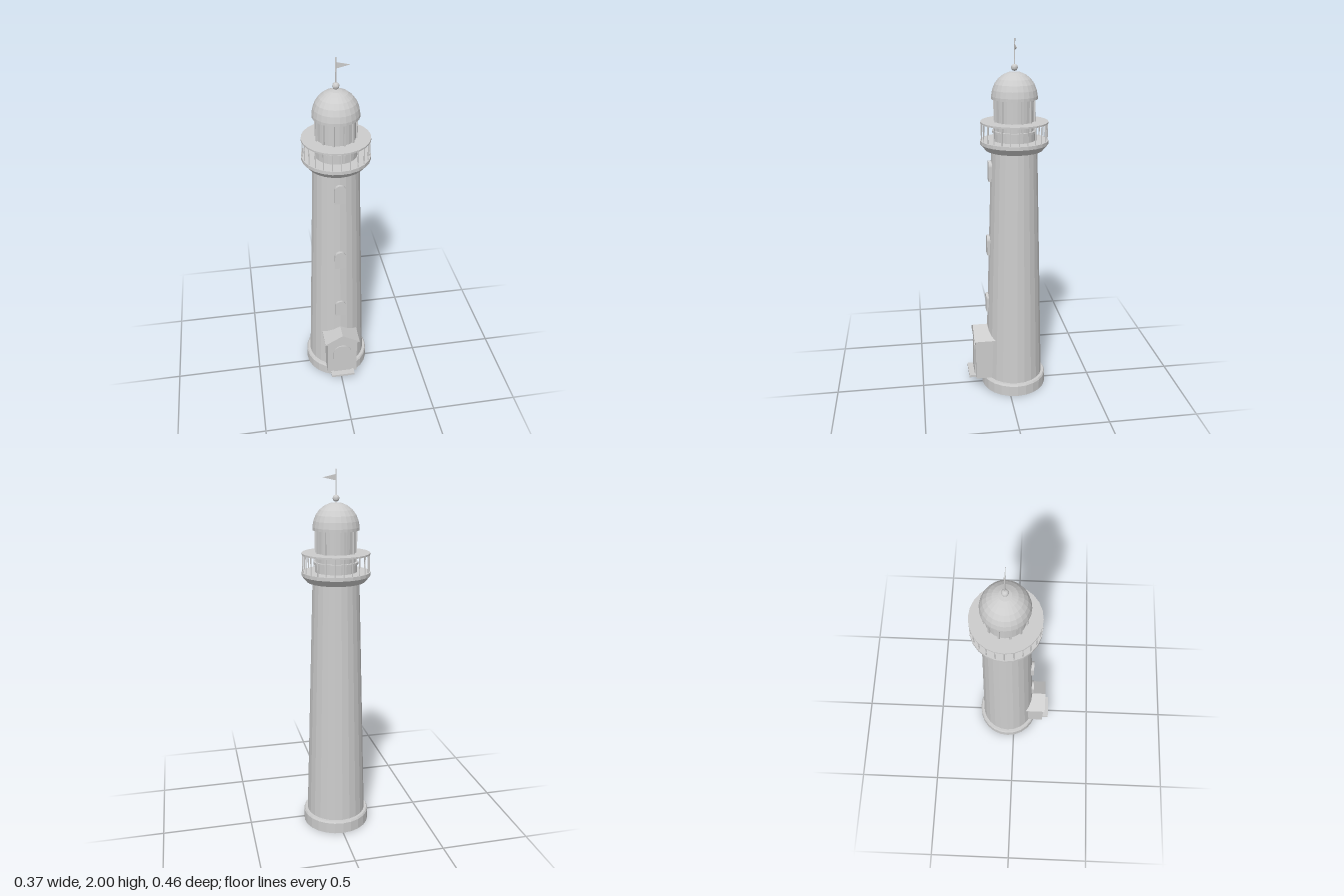
import * as THREE from 'three';

const SIDES = 24;

export function createModel() {
  const root = new THREE.Group();
  root.name = 'lighthouse';
  const stone = new THREE.MeshStandardMaterial({ color: 0xcccccc, flatShading: true });
  stone.name = 'pale grey stone';

  const add = (parent, name, geometry, x = 0, y = 0, z = 0) => {
    const mesh = new THREE.Mesh(geometry, stone);
    mesh.name = name;
    mesh.position.set(x, y, z);
    parent.add(mesh);
    return mesh;
  };
  // Turned part from [radius, height] pairs, bottom to top
  const turned = (parent, name, profile) =>
    add(parent, name, new THREE.LatheGeometry(profile.map(([r, y]) => new THREE.Vector2(r, y)), SIDES));
  const extrude = (shape, depth) =>
    new THREE.ExtrudeGeometry(shape, { depth, bevelEnabled: false, curveSegments: 10 });
  const polygon = (pts) => new THREE.Shape(pts.map(([x, y]) => new THREE.Vector2(x, y)));
  // Round-topped panel standing on y = 0
  const arch = (half, height) => {
    const s = new THREE.Shape();
    s.moveTo(-half, 0);
    s.lineTo(half, 0);
    s.lineTo(half, height - half);
    s.absarc(0, height - half, half, 0, Math.PI, false);
    s.closePath();
    return s;
  };

  // Everything round shares an axis set slightly back
  const tower = new THREE.Group();
  tower.name = 'tower';
  tower.position.z = -0.042;
  root.add(tower);

  turned(tower, 'plinth', [[0, 0], [0.187, 0], [0.187, 0.062], [0.181, 0.072], [0, 0.072]]);
  turned(tower, 'shaft', [[0.166, 0.07], [0.125, 1.43]]);
  turned(tower, 'galleryFloor', [[0, 1.425], [0.155, 1.425], [0.183, 1.458], [0.183, 1.477], [0, 1.477]]);

  // Arched windows
  for (const [y, h, z] of [[0.48, 0.105, 0.12], [0.83, 0.11, 0.112], [1.255, 0.11, 0.1]]) {
    add(root, 'window', extrude(arch(0.03, h), 0.03), 0, y, z - 0.03);
  }

  // Gallery railing
  for (let i = 0; i < SIDES; i++) {
    const a = (i / SIDES) * Math.PI * 2;
    add(tower, 'railingPost', new THREE.CylinderGeometry(0.003, 0.003, 0.1, 6),
      0.176 * Math.sin(a), 1.522, 0.176 * Math.cos(a));
  }
  turned(tower, 'railingTop', [[0, 1.568], [0.181, 1.568], [0.181, 1.577], [0, 1.577]]);

  // Lantern room with glazing bars
  turned(tower, 'lanternBase', [[0.112, 1.475], [0.112, 1.518], [0.118, 1.518], [0.118, 1.53], [0, 1.53]]);
  turned(tower, 'lanternGlass', [[0.103, 1.52], [0.103, 1.71]]);
  for (let i = 0; i < 12; i++) {
    const a = ((i + 0.5) / 12) * Math.PI * 2;
    const bar = add(tower, 'glazingBar', new THREE.BoxGeometry(0.01, 0.185, 0.012),
      0.105 * Math.sin(a), 1.615, 0.105 * Math.cos(a));
    bar.rotation.y = a;
  }

  // Dome, finial, pole and pennant
  const dome = [[0, 1.695], [0.123, 1.695], [0.123, 1.71]];
  for (let i = 1; i <= 6; i++) {
    const t = (i / 6) * Math.PI / 2;
    dome.push([i === 6 ? 0 : 0.121 * Math.cos(t), 1.71 + 0.125 * Math.sin(t)]);
  }
  turned(tower, 'dome', dome);
  add(tower, 'finialBall', new THREE.SphereGeometry(0.018, 12, 8), 0, 1.855, 0);
  add(tower, 'flagPole', new THREE.CylinderGeometry(0.0035, 0.0035, 0.16, 6), 0, 1.92, 0);
  add(tower, 'flag', extrude(polygon([[0, 1.943], [0.07, 1.959], [0, 1.975]]), 0.003), 0, 0, -0.0015);

  // Entrance porch
  const porch = new THREE.Group();
  porch.name = 'porch';
  root.add(porch);
  add(porch, 'porchWalls', extrude(polygon([[-0.088, 0.075], [0.088, 0.075], [0.088, 0.325], [-0.088, 0.325]]), 0.15), 0, 0, 0.04);
  add(porch, 'porchRoof', extrude(polygon([[-0.103, 0.32], [0.103, 0.32], [0.103, 0.325], [0, 0.385], [-0.103, 0.325]]), 0.15), 0, 0, 0.049);
  add(porch, 'door', extrude(arch(0.053, 0.21), 0.006), 0, 0.088, 0.19);
  add(porch, 'doorStep', new THREE.BoxGeometry(0.14, 0.014, 0.08), 0, 0.082, 0.189);

  return root;
}
